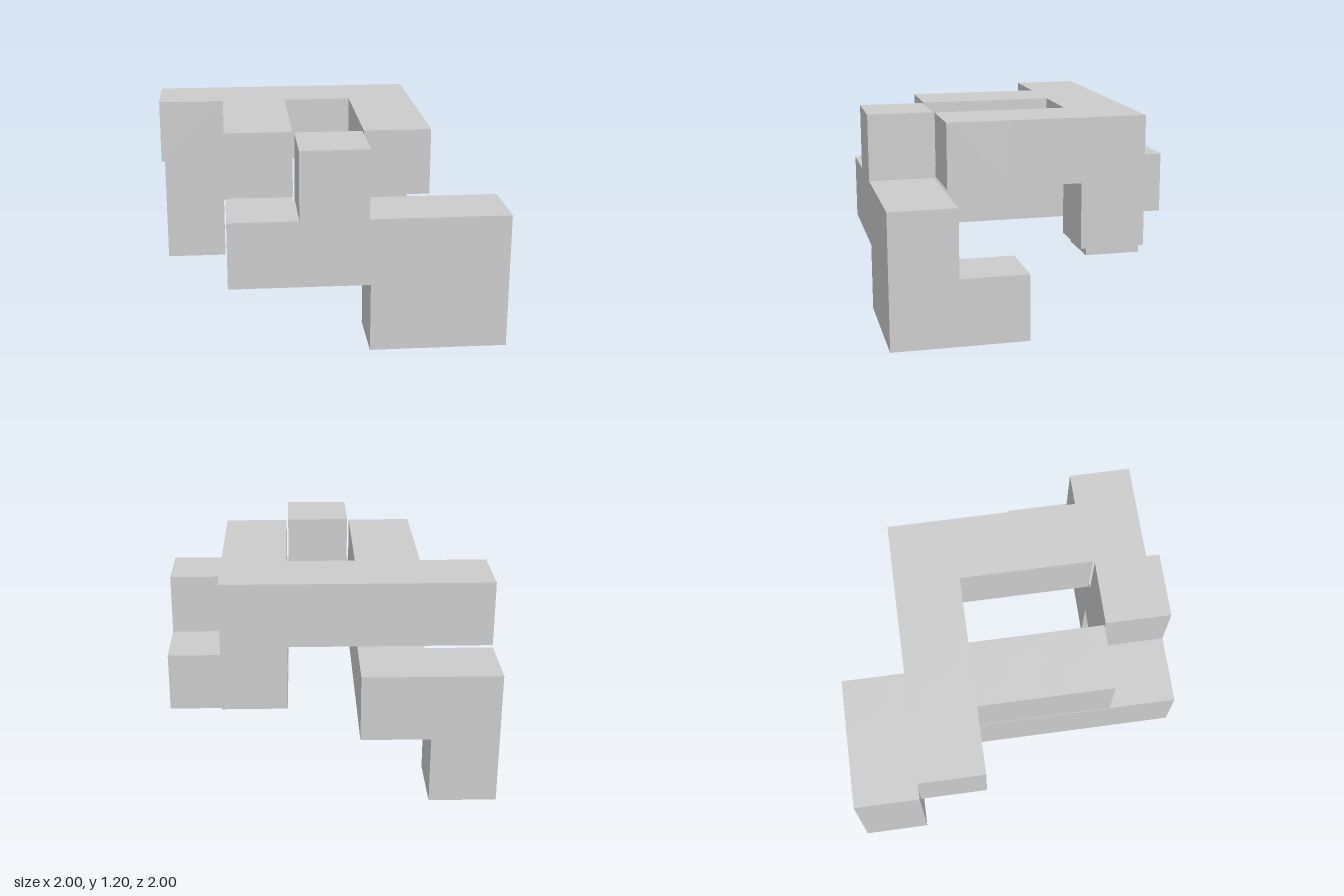
import * as THREE from 'three';

const PITCH = 0.402; // spacing of the cube cells
const SIZE = 0.392;  // cube edge; the rest is clearance between pieces

// Edge position of a slab: even slabs are cells, odd slabs the thin joints between them
const edge = (i) => Math.floor(i / 2) * PITCH + (i % 2 ? SIZE : 0);

// Outer skin of a piece made of bars, each given as [first cell, last cell]
function pieceGeometry(bars) {
  const cells = new Set();
  for (const [a, b] of bars)
    for (let x = a[0]; x <= b[0]; x++)
      for (let y = a[1]; y <= b[1]; y++)
        for (let z = a[2]; z <= b[2]; z++) cells.add(`${x},${y},${z}`);

  // A joint is solid only when every cell around it is solid
  const around = (i) => (i % 2 ? [(i - 1) / 2, (i + 1) / 2] : [i / 2]);
  const solid = ([i, j, k]) =>
    around(i).every((x) => around(j).every((y) => around(k).every((z) => cells.has(`${x},${y},${z}`))));

  const positions = [];
  const addFace = (slab, axis, dir) => {
    const u = (axis + 1) % 3, v = (axis + 2) % 3;
    const corner = (du, dv) => {
      const s = [...slab];
      s[u] += du;
      s[v] += dv;
      if (dir > 0) s[axis] += 1;
      return s.map(edge);
    };
    const q = [corner(0, 0), corner(1, 0), corner(1, 1), corner(0, 1)];
    if (dir < 0) q.reverse();
    for (const n of [0, 1, 2, 0, 2, 3]) positions.push(...q[n]);
  };

  for (let i = 0; i < 9; i++)
    for (let j = 0; j < 5; j++)
      for (let k = 0; k < 9; k++) {
        if (!solid([i, j, k])) continue;
        for (let axis = 0; axis < 3; axis++)
          for (const dir of [-1, 1]) {
            const next = [i, j, k];
            next[axis] += dir;
            if (!solid(next)) addFace([i, j, k], axis, dir);
          }
      }

  const geometry = new THREE.BufferGeometry();
  geometry.setAttribute('position', new THREE.Float32BufferAttribute(positions, 3));
  geometry.computeVertexNormals();
  geometry.translate(-1, 0, -1);
  return geometry;
}

export function createModel() {
  const group = new THREE.Group();
  group.name = 'interlockingPuzzle';
  const material = new THREE.MeshStandardMaterial({ color: 0xcccccc, flatShading: true });

  const pieces = {
    lowerPiece: [
      [[1, 1, 0], [1, 1, 4]], // long bar, front to back
      [[0, 1, 0], [1, 1, 0]], // back arm
      [[0, 0, 0], [0, 1, 0]], // back foot
      [[1, 1, 4], [4, 1, 4]], // front bar
      [[3, 0, 4], [4, 0, 4]], // front foot
      [[4, 0, 3], [4, 0, 4]], // foot return
      [[2, 2, 4], [2, 2, 4]], // upright stub
    ],
    upperPiece: [
      [[0, 2, 1], [3, 2, 1]], // crossbar
      [[1, 2, 1], [1, 2, 3]], // middle arm
      [[3, 2, 1], [3, 2, 3]], // end arm
      [[3, 1, 1], [3, 2, 1]], // hanging leg
    ],
  };

  for (const [name, bars] of Object.entries(pieces)) {
    const mesh = new THREE.Mesh(pieceGeometry(bars), material);
    mesh.name = name;
    group.add(mesh);
  }
  return group;
}
